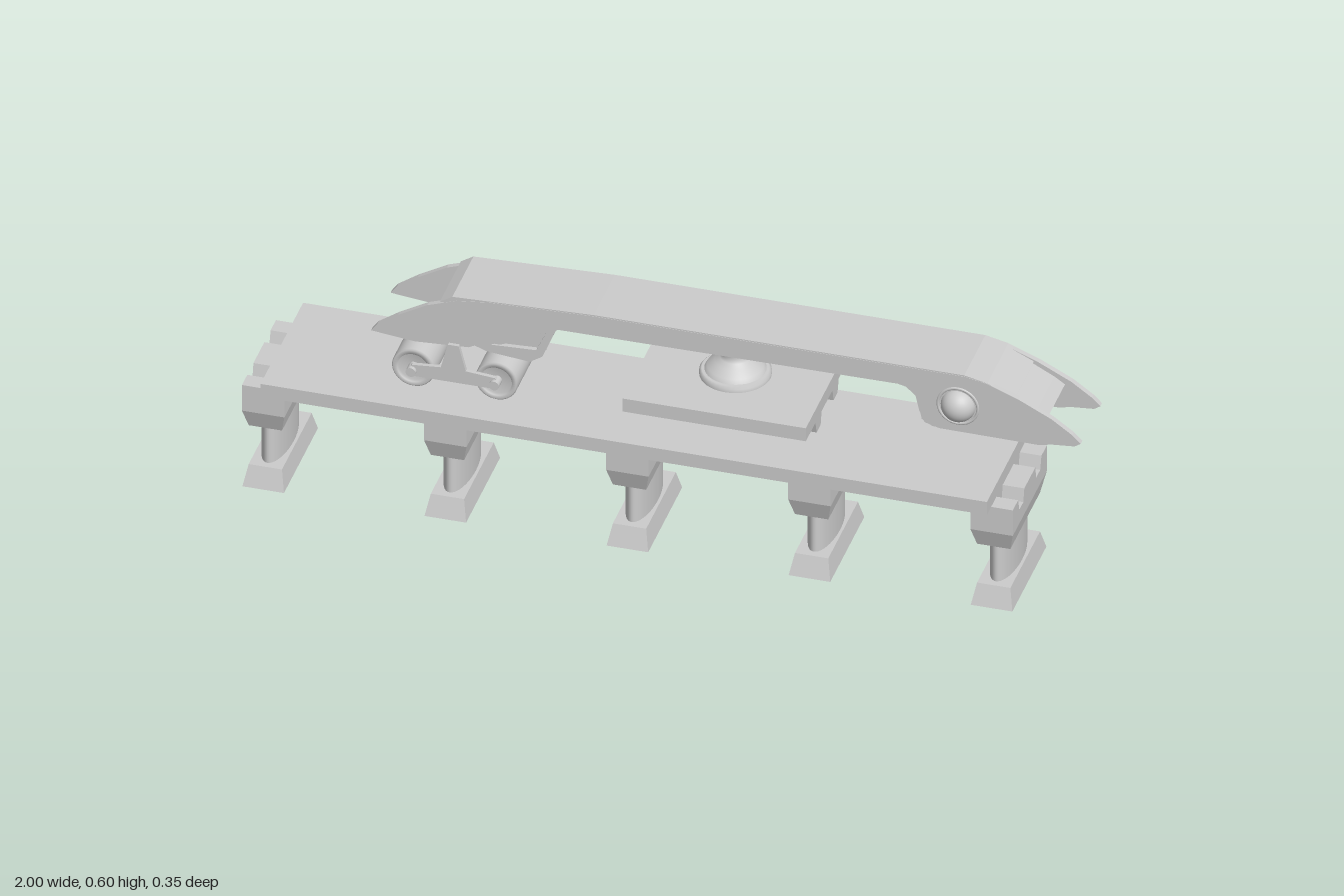
import * as THREE from 'three';

const mat = new THREE.MeshStandardMaterial({ color: 0xcccccc, side: THREE.DoubleSide });
const flat = new THREE.MeshStandardMaterial({ color: 0xcccccc, flatShading: true, side: THREE.DoubleSide });

function add(parent, name, geo, x = 0, y = 0, z = 0, m = mat) {
  const mesh = new THREE.Mesh(geo, m);
  mesh.name = name;
  mesh.position.set(x, y, z);
  parent.add(mesh);
  return mesh;
}

// Extrude an x-y outline along z, from z0 to z1
function slab(points, z0, z1) {
  const shape = new THREE.Shape(points.map(p => new THREE.Vector2(...p)));
  return new THREE.ExtrudeGeometry(shape, { depth: z1 - z0, bevelEnabled: false, curveSegments: 16 }).translate(0, 0, z0);
}

// Extrude a z-y outline along x, from x0 to x1
function beamX(points, x0, x1) {
  return slab(points.map(([z, y]) => [-z, y]), x0, x1).rotateY(Math.PI / 2);
}

// Box whose upper or lower end is narrowed
function taperBox(bx, bz, tx, tz, y0, y1) {
  const g = new THREE.BoxGeometry(2, y1 - y0, 2).translate(0, (y0 + y1) / 2, 0);
  const p = g.attributes.position;
  for (let i = 0; i < p.count; i++) {
    const top = p.getY(i) > (y0 + y1) / 2;
    p.setX(i, p.getX(i) * (top ? tx : bx));
    p.setZ(i, p.getZ(i) * (top ? tz : bz));
  }
  g.computeVertexNormals();
  return g;
}

function lathe(points, segments = 40) {
  return new THREE.LatheGeometry(points.map(p => new THREE.Vector2(...p)), segments);
}

// Slab with two trapezoid ribs underneath
function ribbedPlate(x0, x1, top) {
  const b = top - 0.036, r = top - 0.069;
  return beamX([[-0.175, top], [0.175, top], [0.175, b], [0.096, b], [0.086, r], [0.053, r], [0.045, b],
    [-0.045, b], [-0.053, r], [-0.086, r], [-0.096, b], [-0.175, b]], x0, x1);
}

function makePillar(x) {
  const g = new THREE.Group();
  g.name = 'pillar';
  g.position.x = x;
  add(g, 'pillarFoot', taperBox(0.05, 0.14, 0.04, 0.122, 0, 0.052), 0, 0, 0, flat);
  add(g, 'pillarColumn', new THREE.CylinderGeometry(1, 1, 0.112, 40).scale(0.033, 1, 0.105), 0, 0.106);
  add(g, 'pillarHeadTaper', taperBox(0.04, 0.122, 0.051, 0.14, 0.16, 0.21), 0, 0, 0, flat);
  // Head notched to carry the deck ribs
  add(g, 'pillarHead', beamX([[-0.14, 0.21], [0.14, 0.21], [0.14, 0.281], [0.096, 0.281], [0.086, 0.248], [0.053, 0.248],
    [0.045, 0.281], [-0.045, 0.281], [-0.053, 0.248], [-0.086, 0.248], [-0.096, 0.281], [-0.14, 0.281]], -0.051, 0.051));
  return g;
}

function makeTable() {
  const g = new THREE.Group();
  g.name = 'supportTable';
  add(g, 'tablePlate', ribbedPlate(-0.075, 0.365, 0.44));
  add(g, 'pivotBase', lathe([[0, 0.455], [0.078, 0.455], [0.084, 0.449], [0.084, 0.438]]), 0.145);
  add(g, 'pivot', lathe([[0.072, 0.455], [0.066, 0.465], [0.048, 0.478], [0.036, 0.488], [0.03, 0.495],
    [0.03, 0.515], [0.04, 0.522], [0.052, 0.532], [0.052, 0.545]]), 0.145);
  return g;
}

function makeBogie() {
  const g = new THREE.Group();
  g.name = 'rollerBogie';
  const y = 0.368;
  for (const x of [-0.605, -0.405]) {
    // Roller with recessed ends, and its axle
    add(g, 'roller', lathe([[0, -0.078], [0.036, -0.078], [0.038, -0.086], [0.048, -0.086], [0.051, -0.083],
      [0.051, 0.083], [0.048, 0.086], [0.038, 0.086], [0.036, 0.078], [0, 0.078]]).rotateX(Math.PI / 2), x, y);
    add(g, 'axle', new THREE.CylinderGeometry(0.012, 0.012, 0.212, 20).rotateX(Math.PI / 2), x, y);
  }
  // Forks hanging from the beam cheeks
  const fork = [[-0.605, 0.354], [-0.405, 0.354], [-0.395, 0.368], [-0.405, 0.384], [-0.475, 0.39],
    [-0.492, 0.456], [-0.518, 0.456], [-0.535, 0.39], [-0.605, 0.384], [-0.615, 0.368]];
  for (const s of [-1, 1]) add(g, 'fork', slab(fork, s * 0.092 - 0.005, s * 0.092 + 0.005));
  return g;
}

function makeBeam() {
  const g = new THREE.Group();
  g.name = 'beam';
  // Central body, ending in a recessed nose
  add(g, 'beamBody', slab([[-0.54, 0.565], [-0.5, 0.578], [0.75, 0.585], [0.84, 0.548], [0.89, 0.522], [0.915, 0.505],
    [0.9, 0.475], [0.87, 0.435], [0.64, 0.435], [0.615, 0.45], [0.605, 0.5], [0.595, 0.525], [0.57, 0.537],
    [-0.26, 0.533], [-0.28, 0.515], [-0.4, 0.465], [-0.46, 0.47]], -0.077, 0.077));
  // Top skin
  add(g, 'topSkin', slab([[-0.54, 0.565], [-0.51, 0.584], [-0.17, 0.597], [0.72, 0.597], [0.775, 0.585], [0.84, 0.555],
    [0.83, 0.545], [0.74, 0.575], [-0.45, 0.565]], -0.087, 0.087));
  const cheek = [[-0.705, 0.455], [-0.69, 0.475], [-0.64, 0.51], [-0.57, 0.55], [-0.5, 0.575], [-0.42, 0.585], [-0.17, 0.594],
    [0.72, 0.594], [0.775, 0.584], [0.85, 0.555], [0.93, 0.515], [0.98, 0.48], [1.0, 0.46], [0.985, 0.45], [0.93, 0.445],
    [0.9, 0.438], [0.66, 0.44], [0.625, 0.45], [0.612, 0.48], [0.603, 0.52], [0.58, 0.54], [0.55, 0.547],
    [-0.25, 0.545], [-0.28, 0.53], [-0.4, 0.49], [-0.47, 0.452], [-0.6, 0.444]];
  const strut = [[-0.47, 0.46], [-0.43, 0.445], [-0.325, 0.435], [-0.295, 0.455], [-0.262, 0.535],
    [-0.28, 0.535], [-0.31, 0.47], [-0.42, 0.465], [-0.3, 0.515], [-0.3, 0.53]];
  for (const s of [-1, 1]) {
    add(g, 'cheek', slab(cheek, s * 0.081 - 0.007, s * 0.081 + 0.007));
    add(g, 'cheekStrut', slab(strut, s * 0.076 - 0.006, s * 0.076 + 0.006));
    // Round boss with a raised rim
    add(g, 'ballBoss', new THREE.SphereGeometry(0.042, 32, 20), 0.705, 0.51, s * 0.08);
    add(g, 'bossRim', new THREE.TorusGeometry(0.048, 0.004, 8, 40), 0.705, 0.51, s * 0.087);
  }
  // Inner web closing the raised rear of the body
  add(g, 'rearWeb', slab([[-0.44, 0.475], [-0.325, 0.437], [-0.3, 0.455], [-0.262, 0.536], [-0.4, 0.54]], -0.07, 0.07));
  return g;
}

export function createModel() {
  const model = new THREE.Group();
  model.name = 'bridgeAssembly';
  for (let i = 0; i < 5; i++) model.add(makePillar(-0.949 + i * 0.4375));
  add(model, 'deck', ribbedPlate(-0.945, 0.8, 0.317));
  model.add(makeTable(), makeBogie(), makeBeam());
  return model;
}
